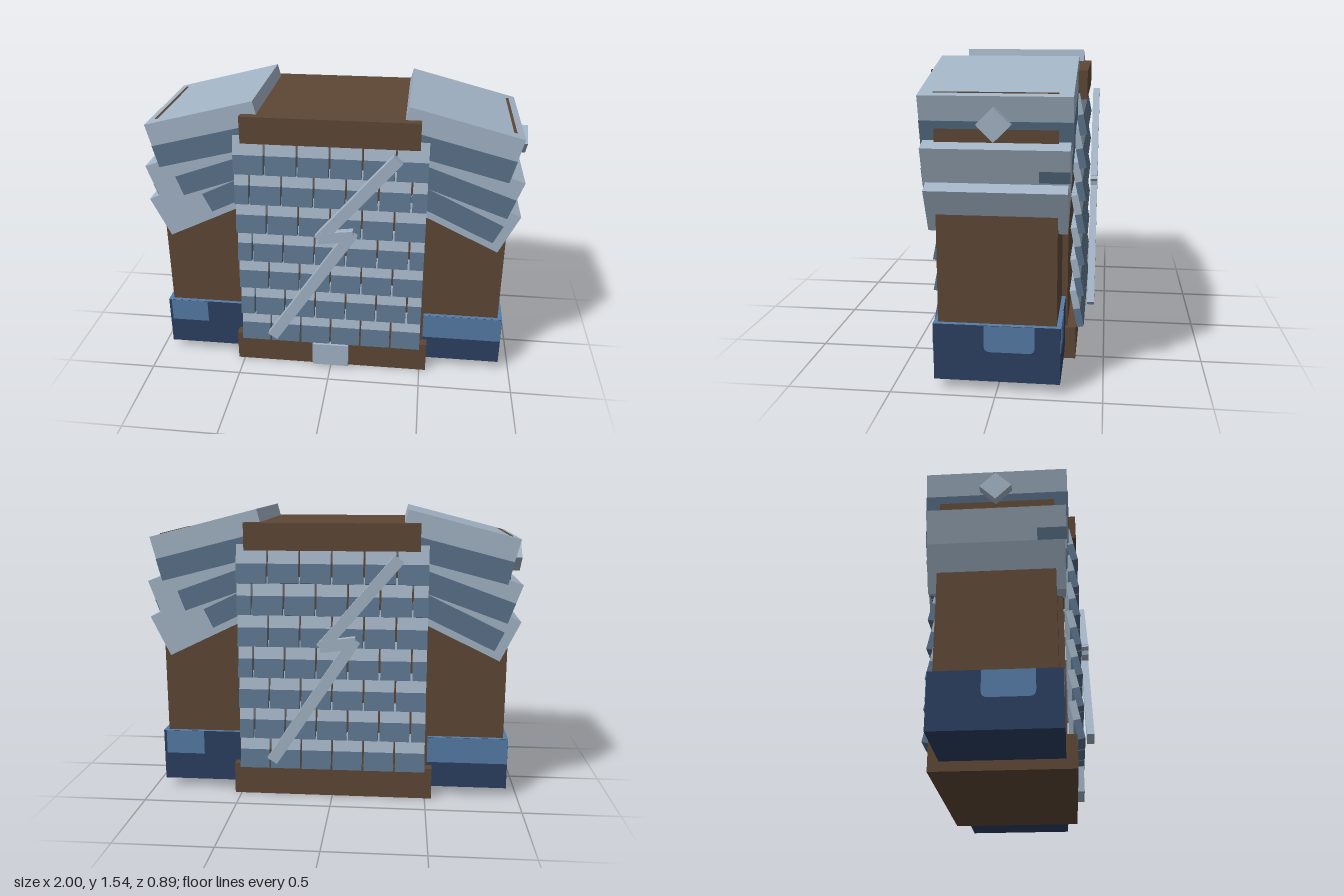
import * as THREE from 'three';

const mat = (name, color) => {
  const m = new THREE.MeshStandardMaterial({ color });
  m.name = name;
  return m;
};

export function createModel() {
  const leather = mat('brown leather', 0x5e4735);
  const steel = mat('light steel', 0xa3b4c6);
  const slate = mat('slate steel', 0x5b738b);
  const navy = mat('navy cloth', 0x2c4061);
  const blue = mat('light blue cloth', 0x557ca6);

  const box = (parent, name, material, size, pos) => {
    const mesh = new THREE.Mesh(new THREE.BoxGeometry(...size), material);
    mesh.position.set(...pos);
    mesh.name = name;
    parent.add(mesh);
    return mesh;
  };
  const group = (parent, name) => {
    const g = new THREE.Group();
    g.name = name;
    parent.add(g);
    return g;
  };

  const model = new THREE.Group();
  model.name = 'scaleArmour';

  // Torso, collar slab, belt and buckle
  box(model, 'torso', leather, [1.02, 1.38, 0.62], [0, 0.7, 0]);
  box(model, 'collar', leather, [0.9, 0.14, 0.78], [0, 1.405, 0]);
  box(model, 'belt', leather, [1.07, 0.17, 0.71], [0, 0.085, 0]);
  box(model, 'buckle', steel, [0.2, 0.135, 0.04], [0, 0.0825, 0.37]);

  // One overlapping plate, light above and dark below
  const addScale = (parent, x, y, w) => {
    const scale = group(parent, 'scale');
    scale.position.set(x, y, 0.357);
    scale.rotation.x = -0.2;
    box(scale, 'scaleTop', steel, [w, 0.1, 0.036], [0, 0.05, 0]);
    box(scale, 'scaleBottom', slate, [w, 0.1, 0.036], [0, -0.05, 0]);
  };

  // Straight bar between two points of the zigzag
  const addBar = (parent, [x1, y1], [x2, y2], z) => {
    const len = Math.hypot(x2 - x1, y2 - y1) + 0.03;
    const bar = box(parent, 'zigzagBar', steel, [len, 0.06, 0.038],
      [(x1 + x2) / 2, (y1 + y2) / 2, z]);
    bar.rotation.z = Math.atan2(y2 - y1, x2 - x1);
  };

  // Scale rows with staggered seams, and the zigzag ornament
  const addPanel = (name) => {
    const panel = group(model, name);
    const pitch = 1 / 6;
    for (let row = 0; row < 7; row++) {
      const y = 0.258 + row * 0.1675;
      const shift = row % 2 ? pitch / 2 : 0;
      for (let i = row % 2 ? -1 : 0; i < 6; i++) {
        const a = Math.max(-0.5, -0.5 + i * pitch + shift);
        const b = Math.min(0.5, -0.5 + (i + 1) * pitch + shift);
        addScale(panel, (a + b) / 2, y, b - a - 0.01);
      }
    }
    const pts = [[0.335, 1.29], [-0.04, 0.85], [0.115, 0.87], [-0.305, 0.235]];
    for (let i = 0; i < 3; i++) addBar(panel, pts[i], pts[i + 1], 0.425 + (i === 1 ? 0.001 : 0));
    return panel;
  };
  addPanel('frontPanel');
  addPanel('backPanel').rotation.y = Math.PI;

  // Shoulder plates: position, size, tilt, dark band range and length on the far face
  const layers = [
    { pos: [0.64, 1.355], size: [0.583, 0.236, 0.69], tilt: -0.252, band: [-0.118, 0], back: 0.583 },
    { pos: [0.675, 1.16], size: [0.56, 0.212, 0.67], tilt: -0.346, band: [-0.106, 0.005], back: 0.43 },
    { pos: [0.68, 0.985], size: [0.54, 0.232, 0.65], tilt: -0.45, band: [-0.08, 0.03], back: 0.26 },
  ];

  // Arm, cuff and shoulder of the left side; the right is the same turned half round
  const addSide = (name) => {
    const side = group(model, name);
    box(side, 'sleeve', leather, [0.465, 1.35, 0.56], [0.6825, 0.735, 0]);

    // Cuff with lighter upper patches
    box(side, 'cuff', [navy, navy, blue, navy, navy, navy], [0.48, 0.28, 0.6], [0.7, 0.19, 0]);
    box(side, 'cuffFrontBand', blue, [0.478, 0.14, 0.004], [0.7, 0.259, 0.3005]);
    box(side, 'cuffBackPatch', blue, [0.21, 0.13, 0.004], [0.82, 0.264, -0.3005]);
    const r = 0.03, w = 0.12, h = 0.13;
    const s = new THREE.Shape();
    s.moveTo(-w, h);
    s.lineTo(-w, r);
    s.quadraticCurveTo(-w, 0, -w + r, 0);
    s.lineTo(w - r, 0);
    s.quadraticCurveTo(w, 0, w, r);
    s.lineTo(w, h);
    const patch = new THREE.Mesh(new THREE.ShapeGeometry(s, 4), blue);
    patch.name = 'cuffSidePatch';
    patch.position.set(0.942, 0.199, -0.06);
    patch.rotation.y = Math.PI / 2;
    side.add(patch);

    // Layered shoulder plates
    layers.forEach(({ pos, size, tilt, band, back }, i) => {
      const plate = group(side, 'shoulderPlate' + (i + 1));
      plate.position.set(pos[0], pos[1], 0);
      plate.rotation.z = tilt;
      box(plate, 'plate', steel, size, [0, 0, 0]);
      const bh = band[1] - band[0], by = (band[0] + band[1]) / 2;
      const front = i === 2 ? size[0] - 0.05 : size[0];
      box(plate, 'frontBand', slate, [front, bh, 0.004], [(front - size[0]) / 2, by, size[2] / 2]);
      box(plate, 'backBand', slate, [back, bh, 0.004], [(back - size[0]) / 2, by, -size[2] / 2]);
      if (i === 0) box(plate, 'endBand', slate, [0.004, bh, size[2]], [size[0] / 2, by, 0]);
      if (i === 1) box(plate, 'endPatch', slate, [0.004, 0.06, 0.14], [size[0] / 2, -0.03, -0.265]);
    });

    // Diamond stud
    const stud = box(side, 'shoulderStud', steel, [0.045, 0.11, 0.11], [0.9775, 1.277, 0]);
    stud.rotation.x = Math.PI / 4;
    return side;
  };
  addSide('leftArm');
  addSide('rightArm').rotation.y = Math.PI;

  return model;
}
